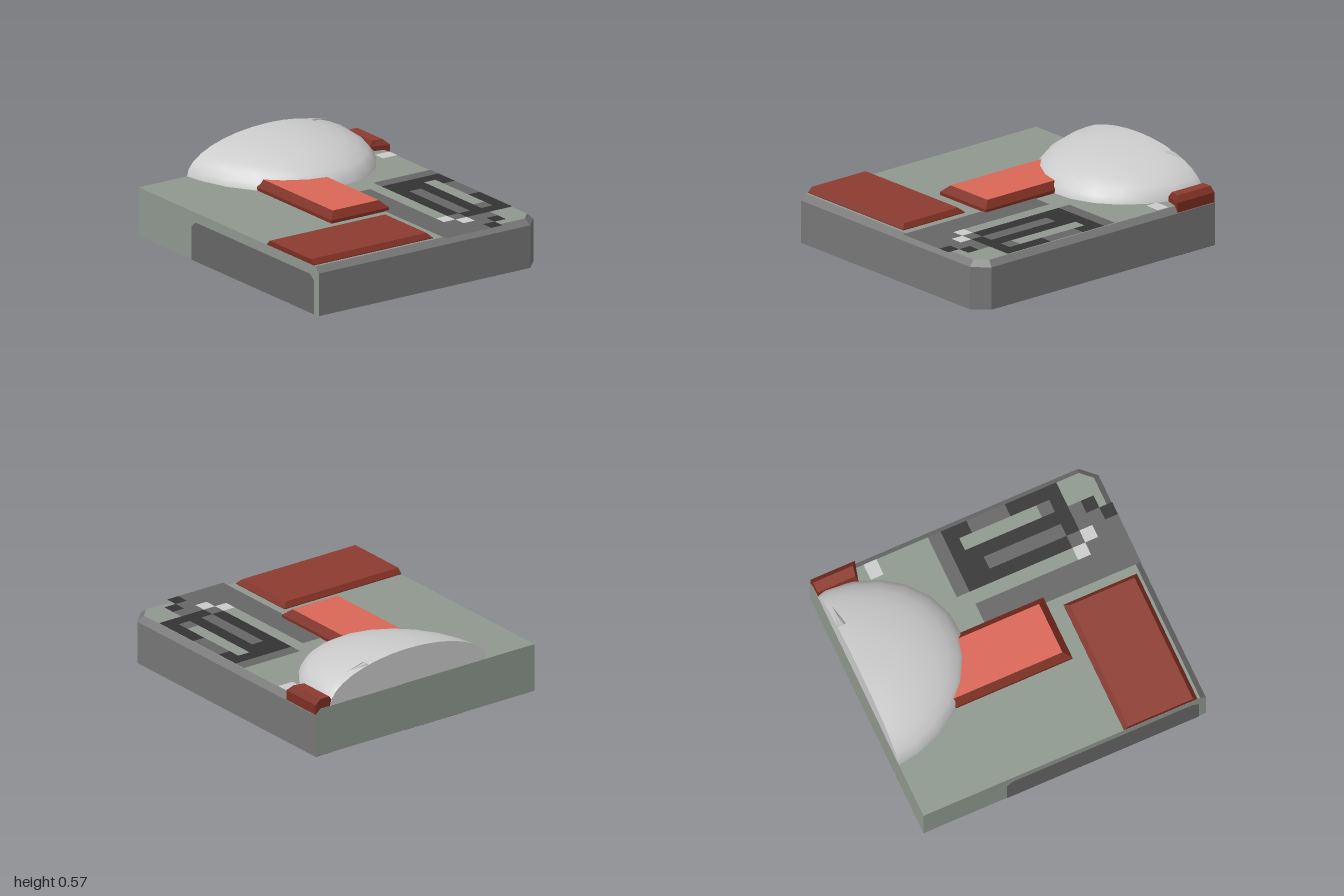
import * as THREE from 'three';
import { mergeGeometries, toCreasedNormals } from 'three/addons/utils/BufferGeometryUtils.js';

const mat = (color, extra = {}) => new THREE.MeshStandardMaterial({ color, ...extra });
const GREEN = 0x8f988f, GREY = 0x777777, RED = 0x8c3b30, LIGHT_RED = 0xda6656, DARK_RED = 0x7c2e22;

// Walls between stacked rings { y, p: [[x, z], ...] } (counter-clockwise from above),
// only along the listed edges, plus optional top and bottom caps.
function loft(rings, edges, top = false, bottom = false) {
  const pos = [];
  const v = (r, i) => [r.p[i % r.p.length][0], r.y, r.p[i % r.p.length][1]];
  for (let k = 0; k < rings.length - 1; k++) {
    const lo = rings[k], hi = rings[k + 1];
    for (const e of edges) {
      pos.push(...v(lo, e), ...v(lo, e + 1), ...v(hi, e + 1));
      pos.push(...v(lo, e), ...v(hi, e + 1), ...v(hi, e));
    }
  }
  const first = rings[0], last = rings[rings.length - 1];
  for (let i = 1; i < first.p.length - 1; i++) {
    if (top) pos.push(...v(last, 0), ...v(last, i), ...v(last, i + 1));
    if (bottom) pos.push(...v(first, 0), ...v(first, i + 1), ...v(first, i));
  }
  const g = new THREE.BufferGeometry();
  g.setAttribute('position', new THREE.Float32BufferAttribute(pos, 3));
  g.computeVertexNormals();
  return g;
}

const rect = (x0, x1, z0, z1) => [[x0, z1], [x1, z1], [x1, z0], [x0, z0]];

export function createModel() {
  const model = new THREE.Group();
  const add = (name, geometry, material, parent = model) => {
    const m = new THREE.Mesh(geometry, material);
    m.name = name;
    parent.add(m);
    return m;
  };

  // Slab: clipped back right corner, bevelled right and back top edges
  const outline = [[-1, 0.885], [1, 0.885], [1, -0.79], [0.9, -0.885], [-1, -0.885]];
  const inset = [[-1, 0.885], [0.96, 0.885], [0.96, -0.775], [0.885, -0.845], [-1, -0.845]];
  const slab = [{ y: 0.002, p: outline }, { y: 0.292, p: outline }, { y: 0.33, p: inset }];
  add('slabBody', loft(slab, [0, 4], true, false), mat(GREEN));
  add('slabOuterWalls', loft(slab, [1, 2, 3], false, true), mat(GREY));

  // Front panel with clipped upper corners
  const front = new THREE.Shape([[-0.41, 0], [0.95, 0], [0.95, 0.23], [0.905, 0.265], [-0.365, 0.265], [-0.41, 0.23]]
    .map(([x, y]) => new THREE.Vector2(x, y)));
  add('frontPanel', new THREE.ShapeGeometry(front).translate(0, 0, 0.888), mat(0x666666));

  // Bevelled red blocks sunk through the slab
  const block = (name, base, roof, yMid, yTop, color) => {
    const g = new THREE.Group();
    g.name = name;
    model.add(g);
    const rings = [{ y: 0, p: base }, { y: yMid, p: base }, { y: yTop, p: roof }];
    add(name + 'Sides', loft(rings, [0, 1, 2, 3], false, true), mat(DARK_RED), g);
    add(name + 'Top', loft([rings[2]], [], true), mat(color), g);
  };
  block('middleBlock', rect(-0.998, 0.32, -0.155, 0.3), rect(-0.998, 0.27, -0.11, 0.255), 0.352, 0.397, LIGHT_RED);
  block('frontBlock', rect(0.42, 0.94, -0.06, 0.884), rect(0.452, 0.91, -0.03, 0.884), 0.335, 0.365, RED);
  block('backBlock',
    [[-0.998, -0.75], [-0.72, -0.75], [-0.685, -0.882], [-0.998, -0.882]],
    [[-0.998, -0.772], [-0.73, -0.772], [-0.715, -0.845], [-0.998, -0.845]], 0.362, 0.397, RED);

  // Slightly skewed half dome, flattened against the left side
  const dome = new THREE.SphereGeometry(1, 24, 8, 0, Math.PI * 2, 0, Math.PI / 2);
  const p = dome.attributes.position;
  for (let i = 0; i < p.count; i++) {
    const z = p.getZ(i) * 0.645;
    const x = p.getX(i) * 0.74 - 0.08 * z;
    p.setXYZ(i, Math.max(-1, x - 1), 0.328 + p.getY(i) * 0.242, z - 0.143);
  }
  add('dome', toCreasedNormals(dome, 0.8), mat(0xcccccc, { side: THREE.DoubleSide }));

  // Small raised sliver on the rear of the dome
  const sliver = new THREE.ConeGeometry(0.03, 0.15, 4).rotateX(-Math.PI / 2).scale(1, 0.35, 1);
  sliver.rotateX(-0.12).translate(-0.97, 0.528, -0.53);
  add('domeSliver', sliver, mat(0xcccccc));

  // Square tiles on the top: g grey, b black, l light, . none
  const tiles = [
    'gbbgggbbbb...',
    'gb......gb...',
    'gbbbbbbbbbgb.',
    'gbbggggggbggb',
    'gbbbbbbbbglgg',
    '.........lggg',
    '.gggggggggggg',
    '.gggggggggggg',
  ];
  const sx = 0.091, sz = 0.0906;
  const tile = (x, z, w, d) => new THREE.PlaneGeometry(w, d).rotateX(-Math.PI / 2).translate(x, 0.334, z);
  const cells = { g: [], b: [], l: [tile(-0.595, -0.787, sx, 0.115)] };
  tiles.forEach((row, r) => [...row].forEach((c, i) => {
    if (c !== '.') cells[c].push(tile(-0.185 + (i + 0.5) * sx, -0.845 + (r + 0.5) * sz, sx, sz));
  }));
  const tileStyle = { g: ['greyTiles', 0x666666], b: ['blackTiles', 0x333333], l: ['lightTiles', 0xf0f0f0] };
  for (const c in cells) {
    const [name, color] = tileStyle[c];
    add(name, mergeGeometries(cells[c]), mat(color, { side: THREE.DoubleSide }));
  }
  return model;
}
